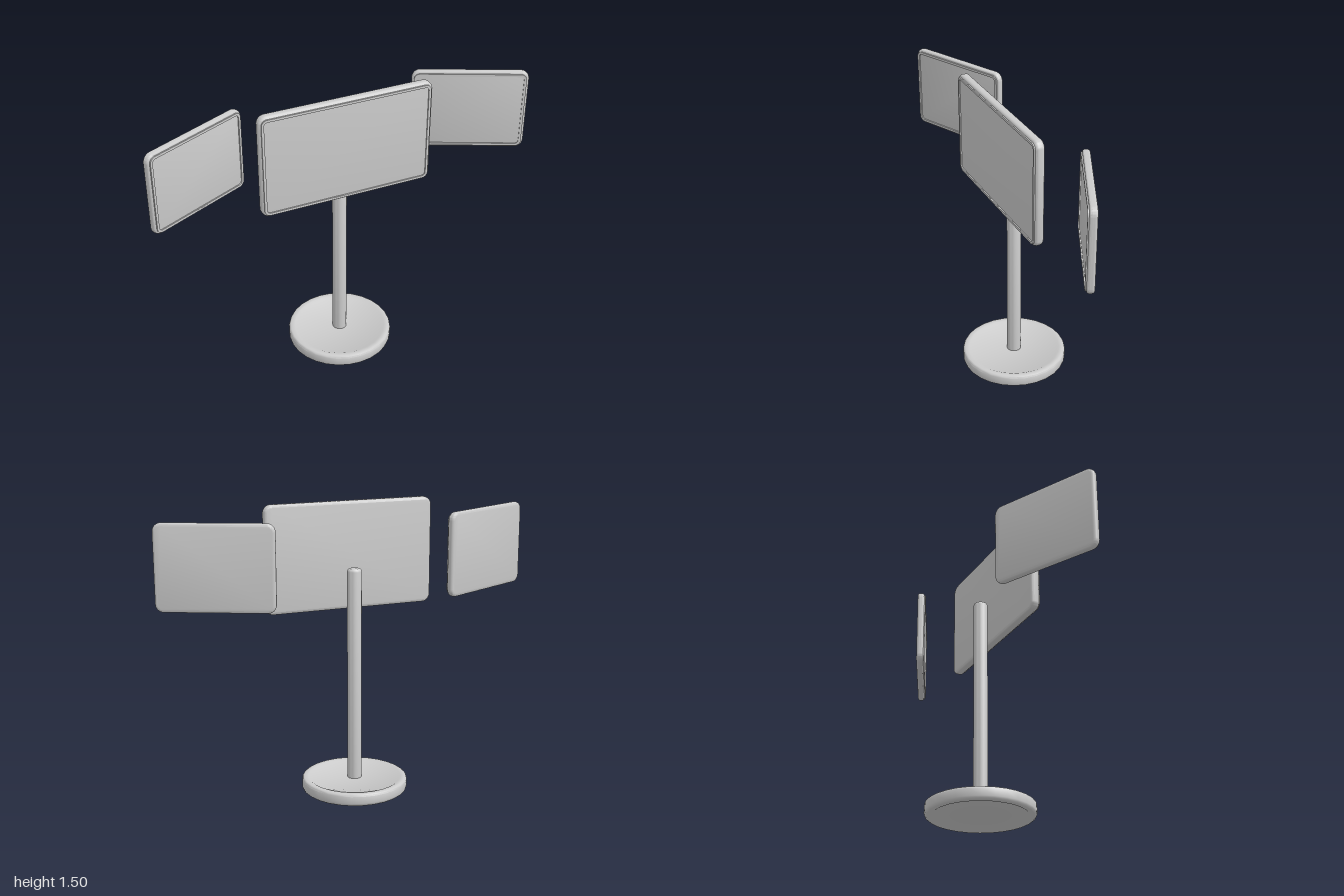
import * as THREE from 'three';
import { toCreasedNormals } from 'three/addons/utils/BufferGeometryUtils.js';

const grey = new THREE.MeshStandardMaterial({ color: 0xcccccc });
grey.name = 'light grey';

function addMesh(parent, geometry, name) {
  const mesh = new THREE.Mesh(geometry, grey);
  mesh.name = name;
  parent.add(mesh);
  return mesh;
}

// Rounded rectangle centred on the origin
function roundedRect(w, h, r, Type = THREE.Shape) {
  const x = w / 2, y = h / 2, s = new Type();
  s.moveTo(-x + r, -y);
  s.lineTo(x - r, -y);
  s.absarc(x - r, -y + r, r, -Math.PI / 2, 0);
  s.lineTo(x, y - r);
  s.absarc(x - r, y - r, r, 0, Math.PI / 2);
  s.lineTo(-x + r, y);
  s.absarc(-x + r, y - r, r, Math.PI / 2, Math.PI);
  s.lineTo(-x, -y + r);
  s.absarc(-x + r, -y + r, r, Math.PI, Math.PI * 1.5);
  return s;
}

// Screen with a rounded housing, a thin raised bezel and a small mark below
function makeScreen(name, w, h, t, markWidth) {
  const group = new THREE.Group();
  group.name = name;
  const bevel = 0.014, lip = 0.006;

  const body = new THREE.ExtrudeGeometry(roundedRect(w - 2 * bevel, h - 2 * bevel, 0.028), {
    depth: t - lip - 2 * bevel, bevelEnabled: true, bevelSize: bevel,
    bevelThickness: bevel, bevelSegments: 3, curveSegments: 5,
  });
  body.translate(0, 0, -t / 2 + bevel);
  addMesh(group, toCreasedNormals(body, 0.7), 'housing');

  const ring = roundedRect(w - 0.024, h - 0.024, 0.03);
  ring.holes.push(roundedRect(w - 0.05, h - 0.05, 0.018, THREE.Path));
  const bezel = new THREE.ExtrudeGeometry(ring, { depth: lip + 0.008, bevelEnabled: false, curveSegments: 5 });
  bezel.translate(0, 0, t / 2 - lip - 0.008);
  addMesh(group, toCreasedNormals(bezel, 0.7), 'bezel');

  const mark = addMesh(group, new THREE.BoxGeometry(markWidth, 0.004, 0.004), 'bezelMark');
  mark.position.set(0, -h / 2 + 0.021, t / 2 - 0.001);
  return group;
}

export function createModel() {
  const model = new THREE.Group();
  model.name = 'tripleScreenStand';

  // Round foot with a softened rim and shallow dished faces
  const footProfile = [
    [0, 0.006], [0.232, 0.006], [0.242, 0], [0.264, 0], [0.272, 0.006], [0.275, 0.016],
    [0.275, 0.052], [0.272, 0.06], [0.264, 0.065], [0.242, 0.064], [0.232, 0.058], [0, 0.058],
  ].map(([x, y]) => new THREE.Vector2(x, y));
  addMesh(model, toCreasedNormals(new THREE.LatheGeometry(footProfile, 28), 0.8), 'foot');

  // Post with a slightly rounded top
  const postProfile = [
    [0.037, 0.05], [0.037, 1.155], [0.034, 1.165], [0.026, 1.17], [0, 1.17],
  ].map(([x, y]) => new THREE.Vector2(x, y));
  addMesh(model, toCreasedNormals(new THREE.LatheGeometry(postProfile, 20), 0.8), 'post');

  // Centre screen
  const centre = makeScreen('centreScreen', 0.9, 0.55, 0.052, 0.16);
  centre.position.set(0, 1.227, 0.081);
  model.add(centre);

  // Side screens, turned inwards
  for (const side of [1, -1]) {
    const screen = makeScreen(side > 0 ? 'leftScreen' : 'rightScreen', 0.586, 0.434, 0.044, 0.065);
    screen.position.set(side * 0.724, 1.228, -0.017);
    screen.rotation.y = -side * THREE.MathUtils.degToRad(25);
    model.add(screen);
  }
  return model;
}
